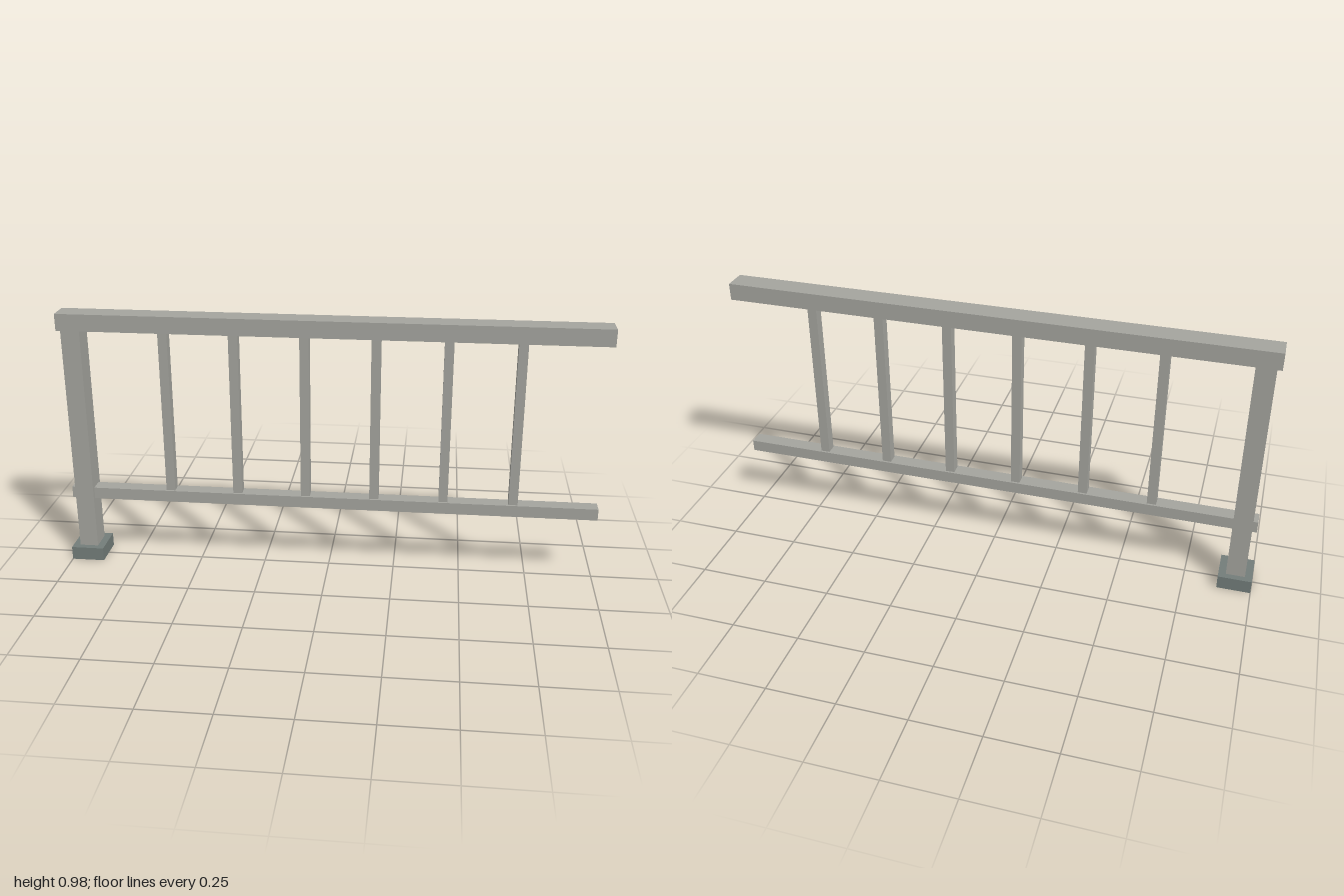
import * as THREE from 'three';

const steel = new THREE.MeshStandardMaterial({ color: 0xa3a39d });
steel.name = 'paleSteel';
const footGrey = new THREE.MeshStandardMaterial({ color: 0x727c79 });
footGrey.name = 'footGrey';

export function createModel() {
  const group = new THREE.Group();
  group.name = 'railing';

  const add = (name, geometry, material) => {
    const mesh = new THREE.Mesh(geometry, material);
    mesh.name = name;
    group.add(mesh);
    return mesh;
  };

  // Box given by its x range, y range and depth, centred on z = 0
  const bar = (name, x0, x1, y0, y1, depth) =>
    add(name, new THREE.BoxGeometry(x1 - x0, y1 - y0, depth), steel)
      .position.set((x0 + x1) / 2, (y0 + y1) / 2, 0);

  const postX = -0.938, postW = 0.07, postD = 0.086;
  const railTop = 0.292, handrailBottom = 0.917;

  // Handrail, lower rail and end post
  bar('handrail', -0.99, 1, handrailBottom, 0.98, 0.086);
  bar('lowerRail', -0.99, 1, 0.248, railTop, 0.055);
  bar('post', postX - postW / 2, postX + postW / 2, 0, handrailBottom, postD);

  // Evenly spaced balusters between the rails
  for (let i = 0; i < 6; i++) {
    const x = -0.604 + i * 0.2586;
    bar('baluster' + (i + 1), x - 0.017, x + 0.017, railTop, handrailBottom, 0.039);
  }

  // Foot collar that the post passes through
  const rectangle = (Type, w, d) => new Type([
    new THREE.Vector2(-w / 2, -d / 2), new THREE.Vector2(w / 2, -d / 2),
    new THREE.Vector2(w / 2, d / 2), new THREE.Vector2(-w / 2, d / 2),
  ]);
  const collar = rectangle(THREE.Shape, 0.124, 0.134);
  collar.holes.push(rectangle(THREE.Path, postW, postD));
  const foot = new THREE.ExtrudeGeometry(collar, { depth: 0.051, bevelEnabled: false });
  foot.rotateX(-Math.PI / 2);
  add('footCollar', foot, footGrey).position.x = postX;

  return group;
}
